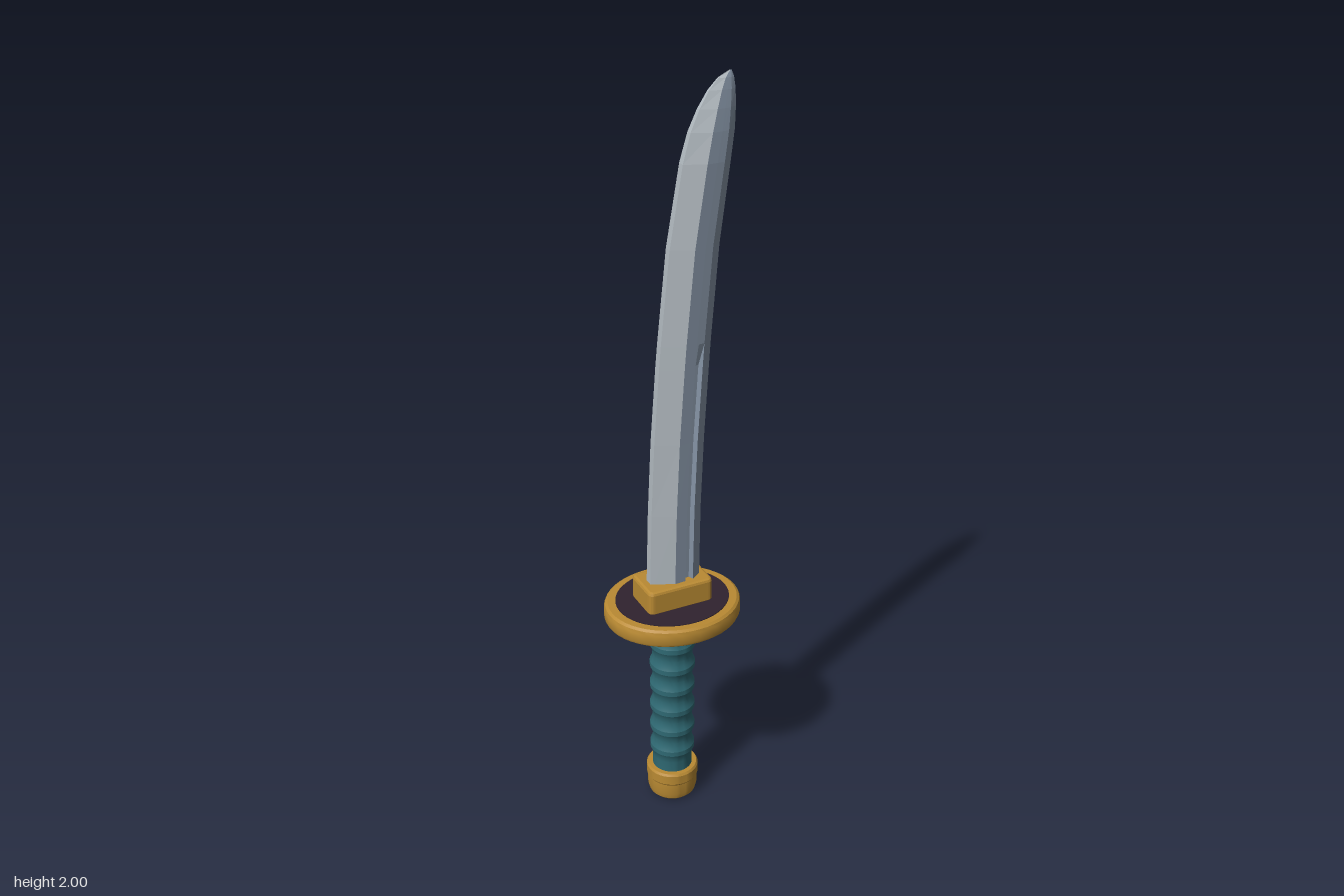
import * as THREE from 'three';
import { toCreasedNormals } from 'three/addons/utils/BufferGeometryUtils.js';

const material = (name, color) => {
  const m = new THREE.MeshStandardMaterial({ color });
  m.name = name;
  return m;
};

function addMesh(parent, name, geometry, mat) {
  const mesh = new THREE.Mesh(geometry, mat);
  mesh.name = name;
  parent.add(mesh);
  return mesh;
}

// Turned part from [radius, height] pairs, listed bottom to top
function turned(profile, crease = 0.45) {
  const points = profile.map(([r, y]) => new THREE.Vector2(r, y));
  return toCreasedNormals(new THREE.LatheGeometry(points, 48), crease);
}

// Blade stations: height, edge x, spine x, thickness factor, groove depth
const stations = [
  [0.66, -0.07, 0.07, 1, 1],
  [0.9, -0.064, 0.073, 1, 1],
  [1.1, -0.055, 0.081, 0.97, 1],
  [1.3, -0.041, 0.093, 0.95, 1],
  [1.36, -0.036, 0.097, 0.94, 0],
  [1.6, -0.012, 0.117, 0.91, 0],
  [1.8, 0.022, 0.144, 0.86, 0],
  [1.87, 0.042, 0.154, 0.72, 0],
  [1.92, 0.065, 0.157, 0.54, 0],
  [1.96, 0.09, 0.157, 0.34, 0],
  [1.985, 0.114, 0.154, 0.17, 0],
  [2.0, 0.142, 0.149, 0, 0],
];

// Half section: fraction from edge to spine, half thickness, groove cut
const section = [
  [0, 0.011, 0],
  [0.42, 0.039, 0],
  [0.64, 0.037, 0],
  [0.68, 0.0365, 0.014],
  [0.76, 0.0355, 0.014],
  [0.8, 0.035, 0],
  [1, 0.016, 0],
];

function bladeRing([y, edge, spine, thick, groove]) {
  const side = section.map(([u, z, cut]) =>
    [edge + (spine - edge) * u, y, (z - cut * groove) * thick]);
  const mirrored = side.map(([x, h, z]) => [x, h, -z]).reverse();
  return [...side, ...mirrored];
}

// Faceted strips along the blade for the chosen section segments
function bladeStrips(segments) {
  const rings = stations.map(bladeRing);
  const positions = [];
  for (let i = 0; i < rings.length - 1; i++) {
    for (const j of segments) {
      const k = (j + 1) % rings[i].length;
      const a = rings[i][j], b = rings[i][k];
      const c = rings[i + 1][k], d = rings[i + 1][j];
      positions.push(...a, ...b, ...c, ...a, ...c, ...d);
    }
  }
  const geometry = new THREE.BufferGeometry();
  geometry.setAttribute('position', new THREE.Float32BufferAttribute(positions, 3));
  geometry.computeVertexNormals();
  return geometry;
}

// Block with rounded corners and chamfered rims, rising from y = 0
function chamferedBlock(width, depth, height, bevel) {
  const w = width / 2 - bevel, d = depth / 2 - bevel, r = 0.008;
  const s = new THREE.Shape();
  s.moveTo(-w + r, -d);
  s.lineTo(w - r, -d);
  s.quadraticCurveTo(w, -d, w, -d + r);
  s.lineTo(w, d - r);
  s.quadraticCurveTo(w, d, w - r, d);
  s.lineTo(-w + r, d);
  s.quadraticCurveTo(-w, d, -w, d - r);
  s.lineTo(-w, -d + r);
  s.quadraticCurveTo(-w, -d, -w + r, -d);
  const geometry = new THREE.ExtrudeGeometry(s, {
    depth: height - 2 * bevel, bevelEnabled: true, bevelSize: bevel,
    bevelThickness: bevel, bevelSegments: 2, curveSegments: 4,
  });
  return geometry.rotateX(-Math.PI / 2).translate(0, bevel, 0);
}

export function createModel() {
  const gold = material('gold', 0xb98a33);
  const teal = material('teal wrap', 0x2f6973);
  const dark = material('dark inlay', 0x30232f);
  const edgeSteel = material('edge steel', 0xb0b8be);
  const bodySteel = material('body steel', 0x8391a2);

  const model = new THREE.Group();
  model.name = 'curvedSword';

  // Pommel cap
  addMesh(model, 'pommel', turned([
    [0, 0], [0.054, 0], [0.064, 0.01], [0.068, 0.025], [0.068, 0.058],
    [0.071, 0.063], [0.071, 0.09], [0.067, 0.096], [0, 0.096],
  ]), gold);

  // Grip with evenly spaced raised bands
  const gripProfile = [[0.055, 0.08]];
  for (let i = 0; i < 7; i++) {
    const y = 0.16 + i * 0.0675;
    gripProfile.push([0.0535, y - 0.034], [0.056, y - 0.018], [0.061, y - 0.007],
      [0.061, y + 0.007], [0.056, y + 0.018]);
  }
  gripProfile.push([0.055, 0.6]);
  addMesh(model, 'grip', turned(gripProfile, 0.4), teal);

  // Oval guard with dark inlays above and below
  const guard = new THREE.Group();
  guard.name = 'guard';
  guard.scale.z = 0.885;
  model.add(guard);
  addMesh(guard, 'guardPlate', turned([
    [0, 0.585], [0.174, 0.585], [0.181, 0.59], [0.184, 0.597],
    [0.184, 0.622], [0.181, 0.63], [0.174, 0.635], [0, 0.635],
  ]), gold);
  for (const [name, y] of [['upperInlay', 0.635], ['lowerInlay', 0.585]]) {
    const inlay = addMesh(guard, name, new THREE.CylinderGeometry(0.153, 0.153, 0.004, 48), dark);
    inlay.position.y = y;
  }

  // Ring where the grip meets the guard
  const ring = addMesh(model, 'gripRing', new THREE.CylinderGeometry(0.074, 0.074, 0.012, 40), gold);
  ring.position.y = 0.584;

  // Collar holding the blade
  const collar = addMesh(model, 'collar', chamferedBlock(0.184, 0.116, 0.07, 0.008), gold);
  collar.position.y = 0.63;

  // Blade: pale cutting bevels, darker grooved body and spine
  const last = section.length * 2 - 1;
  const body = [];
  for (let j = 1; j < last - 1; j++) body.push(j);
  const blade = new THREE.Group();
  blade.name = 'blade';
  model.add(blade);
  addMesh(blade, 'cuttingEdge', bladeStrips([0, last - 1, last]), edgeSteel);
  addMesh(blade, 'bladeBody', bladeStrips(body), bodySteel);

  return model;
}
